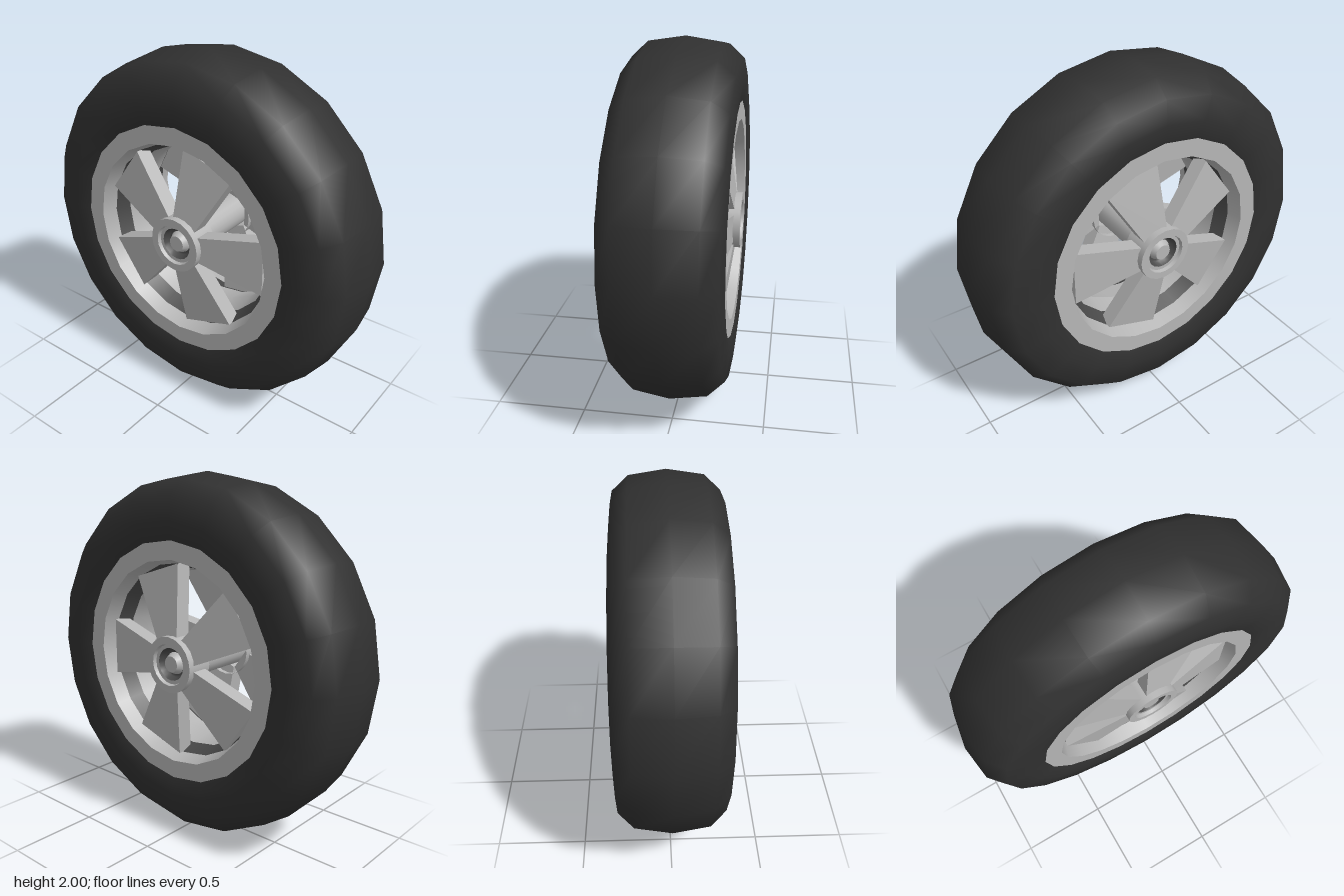
import * as THREE from 'three';

const SIDES = 20;

const mat = (name, color, side = THREE.FrontSide) => {
  const m = new THREE.MeshStandardMaterial({ color, side });
  m.name = name;
  return m;
};

// Surface of revolution about the x axis; points are [radius, x]
function turned(name, points, material, sides = SIDES) {
  const geo = new THREE.LatheGeometry(points.map(([r, x]) => new THREE.Vector2(r, x)), sides);
  geo.rotateZ(-Math.PI / 2);
  const mesh = new THREE.Mesh(geo, material);
  mesh.name = name;
  return mesh;
}

// Tapered spoke: sloping away from the hub towards the rim
function spokeGeometry() {
  const shape = new THREE.Shape([
    new THREE.Vector2(0.1, -0.068), new THREE.Vector2(0.51, -0.16),
    new THREE.Vector2(0.51, 0.16), new THREE.Vector2(0.1, 0.068),
  ]);
  const geo = new THREE.ExtrudeGeometry(shape, { depth: 0.09, bevelEnabled: false });
  const p = geo.attributes.position;
  for (let i = 0; i < p.count; i++) {
    p.setZ(i, p.getZ(i) + 0.195 - 0.14 * (p.getX(i) - 0.1));
  }
  geo.computeVertexNormals();
  geo.rotateY(Math.PI / 2);
  return geo;
}

export function createModel() {
  const rubber = mat('black rubber', 0x303030);
  const metal = mat('light metal', 0xb6b6b6, THREE.DoubleSide);
  const dark = mat('dark metal', 0x4a4a4a, THREE.DoubleSide);

  const wheel = new THREE.Group();
  wheel.name = 'wheel';

  // Tyre: rounded tread and sidewalls
  const half = [[0.63, 0.27], [0.68, 0.292], [0.76, 0.3], [0.89, 0.286], [0.97, 0.2]];
  wheel.add(turned('tyre', [
    ...half.map(([r, x]) => [r, -x]), [1, 0], ...[...half].reverse(),
  ], rubber));

  // Axle joining both hubs
  wheel.add(turned('axle', [[0.1, -0.25], [0.1, 0.25]], metal));

  // Each side: rim, spokes and hub, the second turned half round
  const spoke = spokeGeometry();
  for (const s of [1, -1]) {
    const side = new THREE.Group();
    side.name = s > 0 ? 'leftFace' : 'rightFace';

    // Rim rings, separate so their edges stay sharp
    side.add(
      turned('rimFace', [[0.66, 0.285], [0.56, 0.285]], metal),
      turned('rimLip', [[0.56, 0.285], [0.535, 0.2]], metal),
      turned('rimGroove', [[0.535, 0.2], [0.5, 0.12]], dark),
      turned('rimBarrel', [[0.5, 0.12], [0.48, 0]], metal),
    );

    // Hub: outer ring, recess, dark groove and centre cap
    side.add(
      turned('hubWall', [[0.155, 0.16], [0.155, 0.315]], metal),
      turned('hubRing', [[0.155, 0.315], [0.115, 0.315]], metal),
      turned('hubStep', [[0.115, 0.315], [0.11, 0.295]], metal),
      turned('hubRecess', [[0.11, 0.295], [0.09, 0.295]], metal),
      turned('hubGroove', [[0.09, 0.295], [0.078, 0.26], [0.06, 0.26]], dark),
      turned('capWall', [[0.062, 0.26], [0.045, 0.295]], metal),
      turned('centreCap', [[0.045, 0.295], [0, 0.295]], metal),
    );

    // Five spokes, one pointing straight forward
    for (let k = 0; k < 5; k++) {
      const mesh = new THREE.Mesh(spoke, metal);
      mesh.name = 'spoke';
      mesh.rotation.x = (s > 0 ? Math.PI : 0) + (k * Math.PI * 2) / 5;
      side.add(mesh);
    }
    if (s < 0) side.rotation.y = Math.PI;
    wheel.add(side);
  }

  wheel.position.y = 1;
  const model = new THREE.Group();
  model.name = 'model';
  model.add(wheel);
  return model;
}
